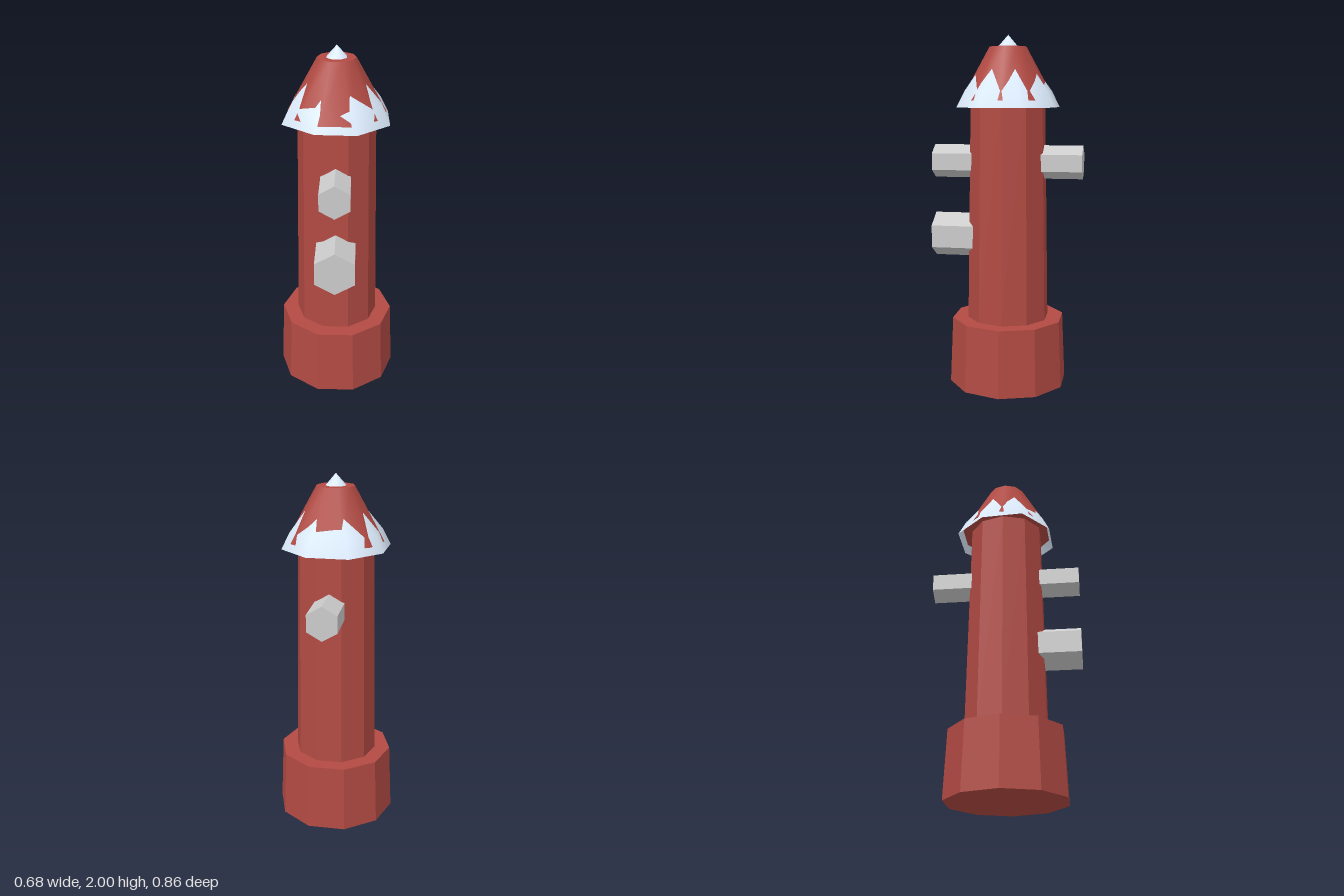
import * as THREE from 'three';

export function createModel() {
  const group = new THREE.Group();
  const red = new THREE.MeshStandardMaterial({ color: 0xb24a43, flatShading: true });
  const redSmooth = new THREE.MeshStandardMaterial({ color: 0xb24a43 });
  const snow = new THREE.MeshStandardMaterial({ color: 0xdcebfc, side: THREE.DoubleSide });
  const grey = new THREE.MeshStandardMaterial({ color: 0xcccccc, flatShading: true });

  const add = (name, geometry, material) => {
    const mesh = new THREE.Mesh(geometry, material);
    mesh.name = name;
    group.add(mesh);
    return mesh;
  };

  // Ten-sided tapered drum with a corner on the x axis
  const drum = (name, rTop, rBottom, y0, y1, material) => {
    const g = new THREE.CylinderGeometry(rTop, rBottom, y1 - y0, 10, 1, false, Math.PI / 2);
    add(name, g, material).position.y = (y0 + y1) / 2;
  };
  drum('base', 0.325, 0.342, 0, 0.385, red);
  drum('column', 0.213, 0.235, 0.385, 1.66, red);
  drum('cap', 0.105, 0.268, 1.64, 1.935, redSmooth);

  // Eight-sided snow cone; the cap's corners poke through it and leave a jagged edge
  const profile = [[0.305, 1.6], [0.258, 1.69], [0.158, 1.82], [0.057, 1.936], [0, 2]];
  const snowGeo = new THREE.LatheGeometry(
    profile.map(([r, y]) => new THREE.Vector2(r, y)), 8, Math.PI / 8);
  // Uneven rim: scale the two lowest rings corner by corner
  const rim = [0.296, 0.309, 0.303, 0.298, 0.303, 0.298, 0.314, 0.287];
  const pos = snowGeo.attributes.position;
  for (let i = 0; i <= 8; i++) {
    const k = rim[i % 8] / 0.305;
    for (let j = 0; j < 2; j++) {
      const v = i * profile.length + j;
      pos.setXYZ(v, pos.getX(v) * k, pos.getY(v), pos.getZ(v) * k);
    }
  }
  add('snowCap', snowGeo, snow);

  // Hexagonal outlets along z, corner up
  const outlet = (name, r, y, side) => {
    const inner = 0.15, outer = 0.428;
    const g = new THREE.CylinderGeometry(r, r, outer - inner, 6);
    g.rotateX(Math.PI / 2);
    add(name, g, grey).position.set(0, y, side * (inner + outer) / 2);
  };
  outlet('frontLowerOutlet', 0.127, 0.863, 1);
  outlet('frontUpperOutlet', 0.095, 1.292, 1);
  outlet('backOutlet', 0.095, 1.292, -1);

  return group;
}
